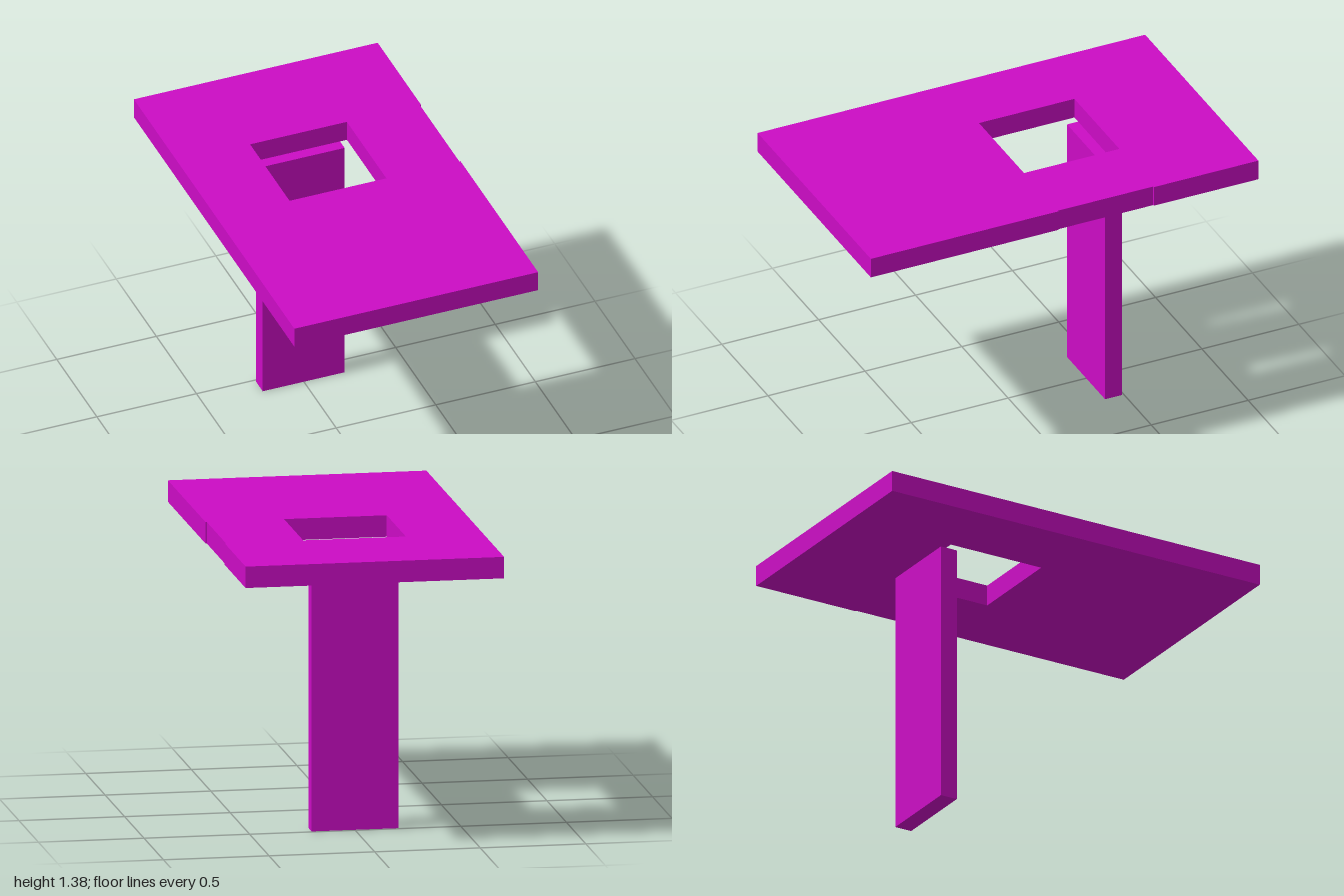
import * as THREE from 'three';

const toPoints = (pairs) => pairs.map(([x, z]) => new THREE.Vector2(x, -z));

export function createModel() {
  const group = new THREE.Group();
  const magenta = new THREE.MeshStandardMaterial({ color: 0xcb0cc4 });
  magenta.name = 'magenta';

  // Slab outline in x, z, with a shallow step along the +x edge
  const outline = new THREE.Shape(toPoints([
    [-0.613, 1], [0.611, 1], [0.611, 0.032], [0.605, 0.032],
    [0.605, -0.46], [0.611, -0.46], [0.611, -1], [-0.613, -1],
  ]));
  // Square opening through the slab
  outline.holes.push(new THREE.Path(toPoints([
    [-0.247, 0.032], [-0.247, -0.46], [0.239, -0.46], [0.239, 0.032],
  ])));
  const slabGeometry = new THREE.ExtrudeGeometry(outline, { depth: 0.102, bevelEnabled: false });
  slabGeometry.rotateX(-Math.PI / 2);
  const slab = new THREE.Mesh(slabGeometry, magenta);
  slab.name = 'slab';
  slab.position.y = 1.278;
  group.add(slab);

  // Flat upright under the rear edge of the opening
  const support = new THREE.Mesh(new THREE.BoxGeometry(0.411, 1.278, 0.086), magenta);
  support.name = 'support';
  support.position.set(-0.001, 0.639, -0.446);
  group.add(support);

  return group;
}
